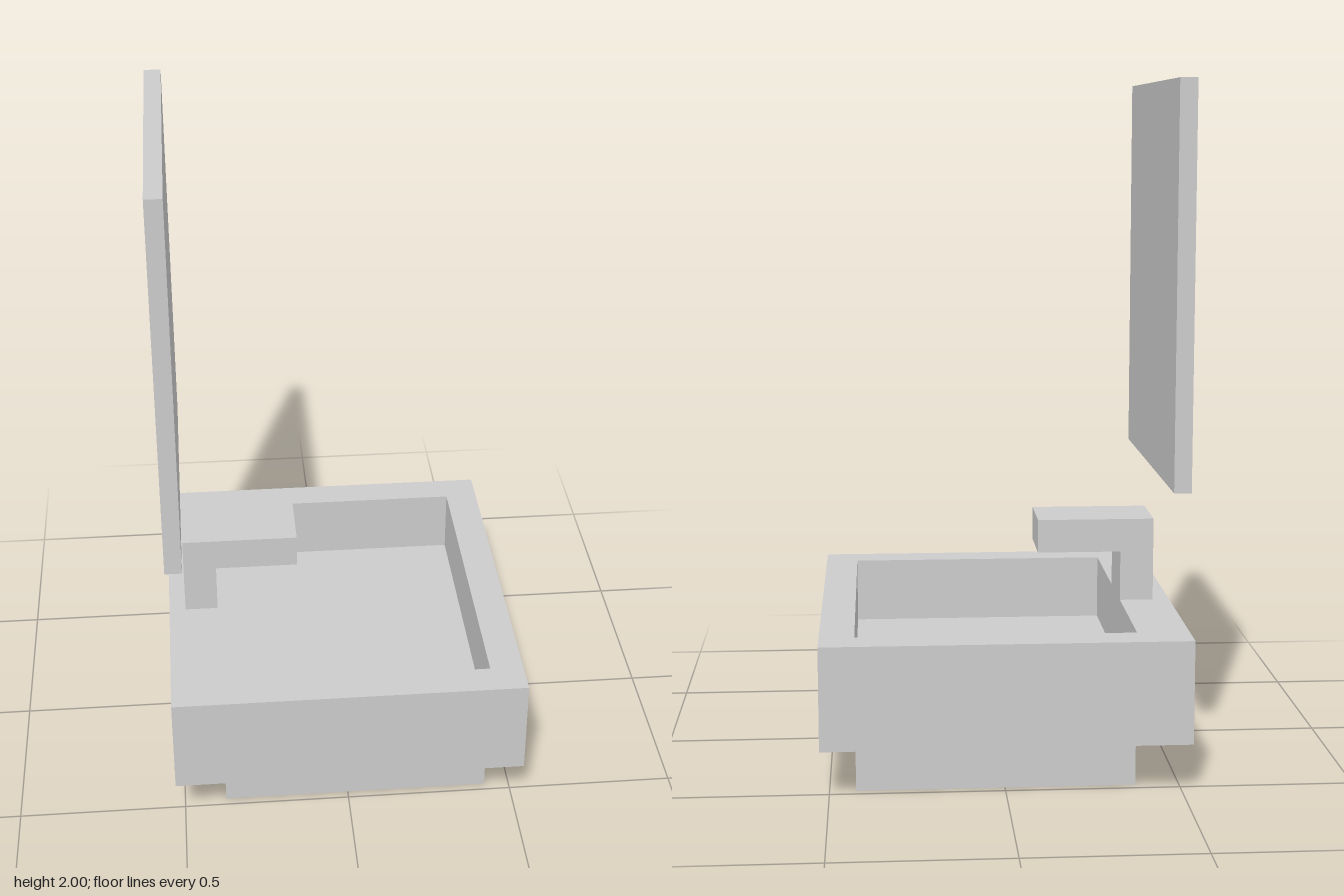
import * as THREE from 'three';

const material = new THREE.MeshStandardMaterial({ color: 0xcccccc, flatShading: true, side: THREE.DoubleSide });

// Thin-walled box between two corners; open lists the sides left out
function shell(name, [x0, y0, z0], [x1, y1, z1], open = []) {
  const sides = ['+x', '-x', '+y', '-y', '+z', '-z'];
  const geometry = new THREE.BoxGeometry(x1 - x0, y1 - y0, z1 - z0);
  const index = Array.from(geometry.index.array);
  geometry.setIndex(index.filter((_, i) => !open.includes(sides[Math.floor(i / 6)])));
  geometry.clearGroups();
  geometry.translate((x0 + x1) / 2, (y0 + y1) / 2, (z0 + z1) / 2);
  const mesh = new THREE.Mesh(geometry, material);
  mesh.name = name;
  return mesh;
}

// Flat rectangular frame at height y, facing up (or down)
function frame(name, y, outer, inner, up) {
  const rect = (path, [x0, x1, z]) =>
    path.moveTo(x0, -z).lineTo(x1, -z).lineTo(x1, z).lineTo(x0, z).closePath();
  const shape = rect(new THREE.Shape(), outer);
  shape.holes.push(rect(new THREE.Path(), inner));
  const geometry = new THREE.ShapeGeometry(shape);
  geometry.rotateX(up ? -Math.PI / 2 : Math.PI / 2);
  geometry.translate(0, y, 0);
  const mesh = new THREE.Mesh(geometry, material);
  mesh.name = name;
  return mesh;
}

export function createModel() {
  const model = new THREE.Group();
  model.name = 'washbasinWithMirror';

  // Footprints: min x, max x, half depth in z
  const outer = [-0.525, 0.525, 0.575];
  const inner = [-0.375, 0.425, 0.475];

  // Pedestal: four walls, open above and below
  model.add(shell('pedestal', [-0.375, 0, -0.475], [0.425, 0.15, 0.475], ['+y', '-y']));

  // Sink body: three outer walls, open on the wall side
  const sink = new THREE.Group();
  sink.name = 'sink';
  sink.add(
    shell('sinkWalls', [-0.525, 0.15, -0.575], [0.525, 0.45, 0.575], ['-x', '+y', '-y']),
    frame('sinkRim', 0.45, outer, inner, true),
    frame('sinkUnderside', 0.15, outer, inner, false),
    shell('basin', [-0.375, 0.25, -0.475], [0.425, 0.45, 0.475], ['+y']),
  );
  model.add(sink);

  // Tap: upright post and spout, one extruded L profile
  const profile = new THREE.Shape([
    [-0.475, 0.45], [-0.375, 0.45], [-0.375, 0.6],
    [-0.125, 0.6], [-0.125, 0.7], [-0.475, 0.7],
  ].map(([x, y]) => new THREE.Vector2(x, y)));
  const tapGeometry = new THREE.ExtrudeGeometry(profile, { depth: 0.2, bevelEnabled: false });
  tapGeometry.translate(0, 0, -0.1);
  const tap = new THREE.Mesh(tapGeometry, material);
  tap.name = 'tap';
  model.add(tap);

  // Mirror: shallow panel, open on the wall side
  model.add(shell('mirror', [-0.525, 0.85, -0.475], [-0.475, 2, 0.475], ['-x']));

  return model;
}
